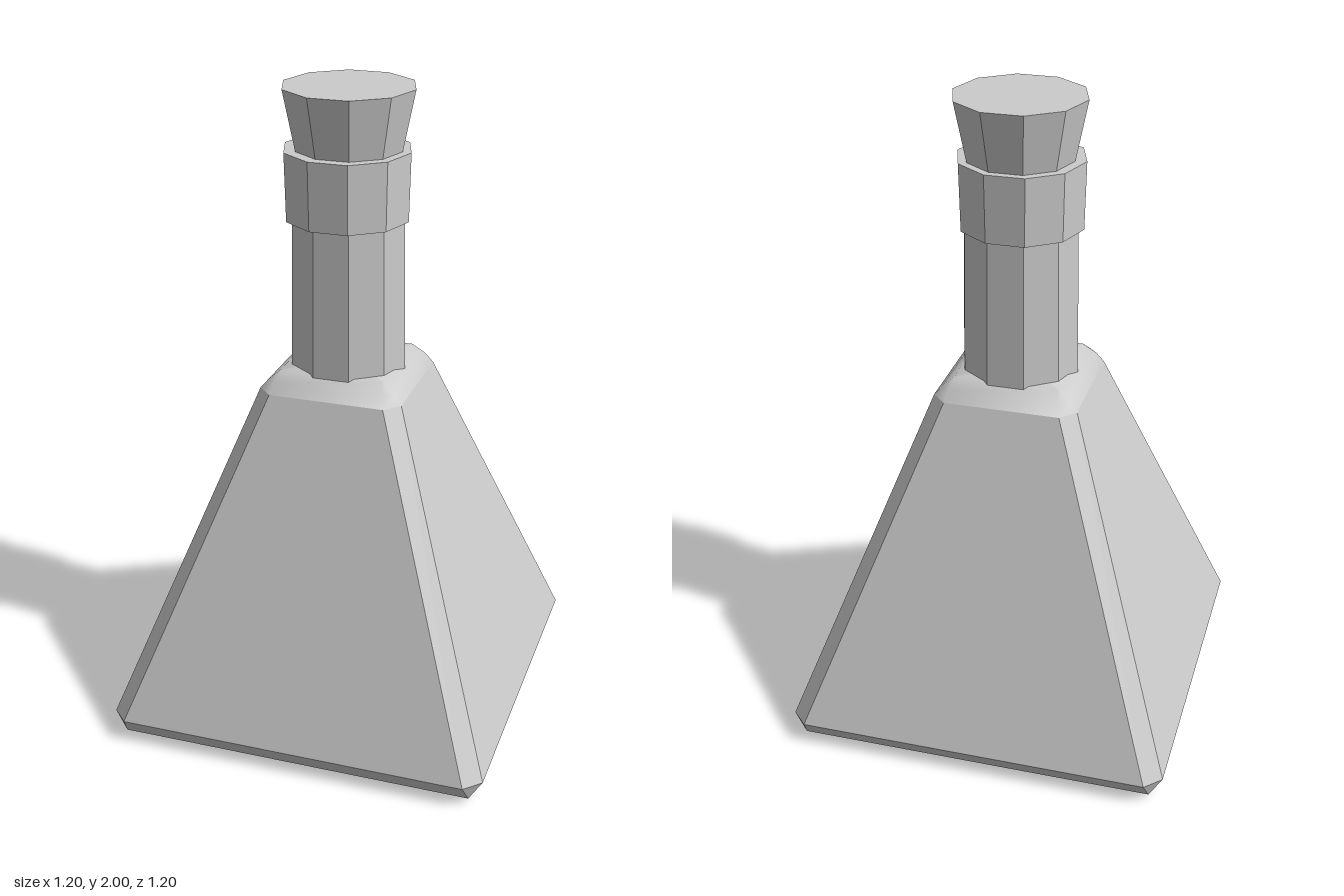
import * as THREE from 'three';
import { toCreasedNormals } from 'three/addons/utils/BufferGeometryUtils.js';

const SIDES = 10;

// Square ring with cut corners: h = half width, f = half length of the straight side.
function ring([h, f, y]) {
  const points = [];
  let corners = [[h, -f], [h, f]];
  for (let k = 0; k < 4; k++) {
    for (const [x, u] of corners) points.push(new THREE.Vector3(x, y, -u));
    corners = corners.map(([x, u]) => [-u, x]);
  }
  return points;
}

// Skin over rings from bottom to top, with optional caps.
function loft(sections, capBottom, capTop) {
  const rings = sections.map(ring);
  const positions = [];
  const triangle = (a, b, c) => {
    const area = b.clone().sub(a).cross(c.clone().sub(a)).length();
    if (area > 1e-8) for (const p of [a, b, c]) positions.push(p.x, p.y, p.z);
  };
  const last = rings.length - 1;
  const bottom = new THREE.Vector3(0, 0, 0);
  const top = new THREE.Vector3(0, sections[last][2], 0);
  for (let i = 0; i < 8; i++) {
    const n = (i + 1) % 8;
    for (let j = 0; j < last; j++) {
      triangle(rings[j][i], rings[j][n], rings[j + 1][n]);
      triangle(rings[j][i], rings[j + 1][n], rings[j + 1][i]);
    }
    if (capBottom) triangle(bottom, rings[0][n], rings[0][i]);
    if (capTop) triangle(top, rings[last][i], rings[last][n]);
  }
  const geometry = new THREE.BufferGeometry();
  geometry.setAttribute('position', new THREE.Float32BufferAttribute(positions, 3));
  geometry.computeVertexNormals();
  return geometry;
}

export function createModel() {
  const group = new THREE.Group();
  const flat = new THREE.MeshStandardMaterial({ color: 0xcccccc, flatShading: true });
  const smooth = new THREE.MeshStandardMaterial({ color: 0xcccccc });

  const add = (name, geometry, material = flat) => {
    const mesh = new THREE.Mesh(geometry, material);
    mesh.name = name;
    group.add(mesh);
    return mesh;
  };

  // Ten-sided tapered piece with a corner pointing to +x
  const faceted = (name, rBottom, rTop, y0, y1, x = 0, z = 0) => {
    const geometry = new THREE.CylinderGeometry(rTop, rBottom, y1 - y0, SIDES);
    geometry.rotateY(Math.PI / 2);
    add(name, geometry).position.set(x, (y0 + y1) / 2, z);
  };

  // Pyramid flask with bevelled base and corners
  add('flaskBody', loft([[0.56, 0.56, 0.01], [0.6, 0.55, 0.07], [0.225, 0.18, 1.09]], true, false));

  // Soft shoulder leading into the neck
  const shoulder = loft([[0.225, 0.18, 1.09], [0.2, 0.175, 1.12], [0.165, 0.16, 1.15]], false, true);
  add('shoulder', toCreasedNormals(shoulder, Math.PI / 3), smooth);

  // Neck, rim collar and flared stopper
  faceted('neck', 0.184, 0.176, 1.1, 1.62);
  faceted('rimCollar', 0.191, 0.196, 1.605, 1.815, -0.003);
  faceted('stopper', 0.162, 0.203, 1.8, 2, 0, -0.005);

  return group;
}
